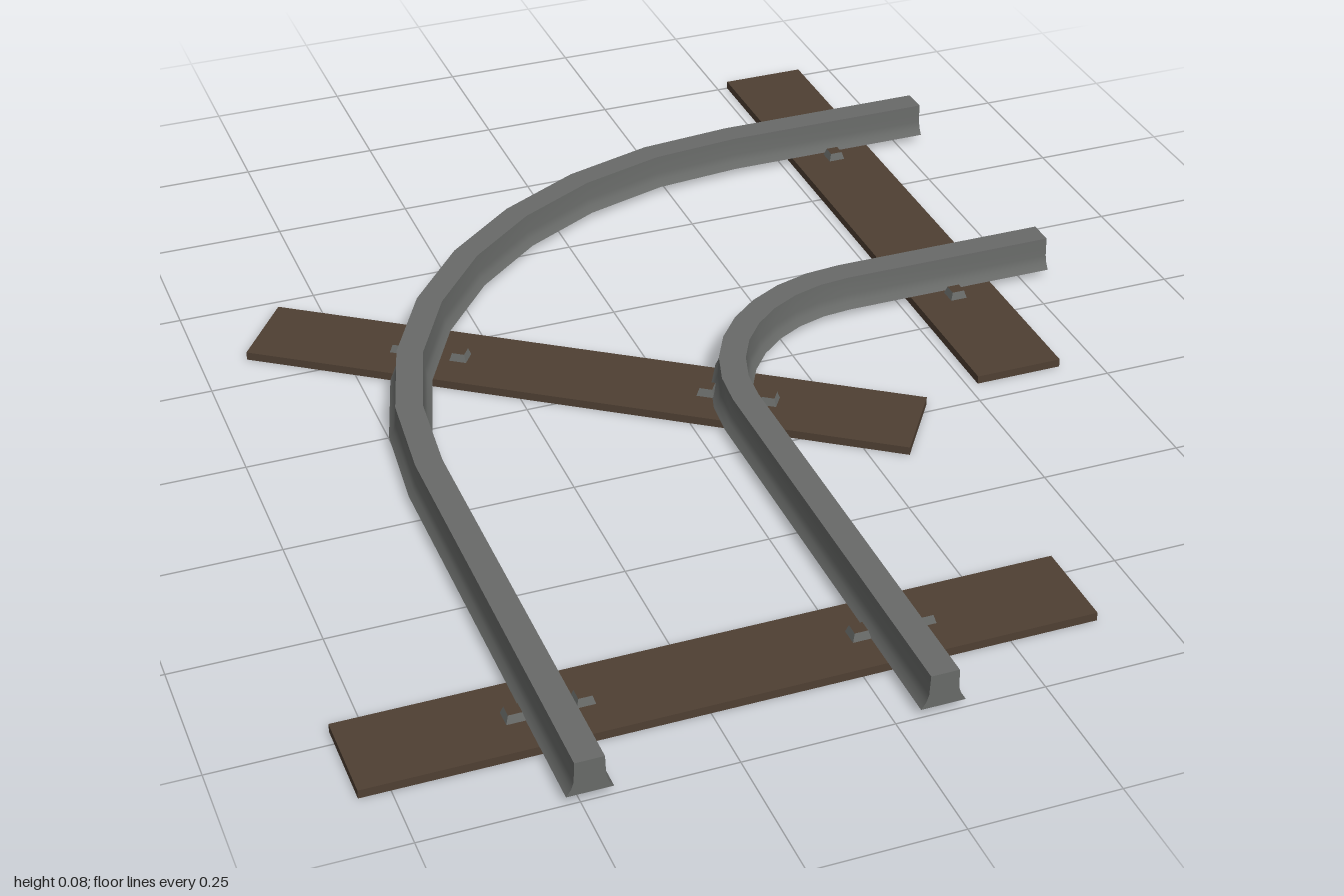
import * as THREE from 'three';
import { mergeGeometries } from 'three/addons/utils/BufferGeometryUtils.js';

const steel = new THREE.MeshStandardMaterial({ name: 'steel grey', color: 0x686a68 });
const wood = new THREE.MeshStandardMaterial({ name: 'dark wood', color: 0x4f4033 });

const SLEEPER_H = 0.015;

// Rail cross-section as [across, height], counter-clockwise; each strip is smooth in itself
const rightSide = [[0.037, 0.015], [0.035, 0.018], [0.029, 0.027], [0.025, 0.04], [0.0235, 0.075]];
const leftSide = rightSide.map(([u, y]) => [-u, y]).reverse();
const strips = [
  rightSide,
  [rightSide[4], leftSide[0]],
  leftSide,
  [leftSide[4], rightSide[0]],
];

// Path stations: straight, quarter bend around (0.4, 0.2), straight
function railStations(radius, bends = 8) {
  const stations = [];
  for (let i = 0; i <= bends; i++) {
    const a = (i / bends) * Math.PI / 2;
    const nx = -Math.cos(a), nz = -Math.sin(a);
    stations.push({ x: 0.4 + radius * nx, z: 0.2 + radius * nz, nx, nz });
  }
  stations.unshift({ ...stations[0], z: 1 });
  stations.push({ ...stations[bends + 1], x: 0.8 });
  return stations;
}

function toGeometry(positions, index) {
  const g = new THREE.BufferGeometry();
  g.setAttribute('position', new THREE.Float32BufferAttribute(positions, 3));
  g.setIndex(index);
  g.computeVertexNormals();
  return g;
}

function createRail(name, radius) {
  const stations = railStations(radius);
  const place = (s, [u, y]) => [s.x + u * s.nx, y, s.z + u * s.nz];

  // Sweep every strip along the path
  const parts = strips.map((strip) => {
    const n = strip.length, index = [];
    const positions = stations.flatMap((s) => strip.flatMap((p) => place(s, p)));
    for (let i = 0; i < stations.length - 1; i++) {
      for (let j = 0; j < n - 1; j++) {
        const a = i * n + j, b = a + 1, c = b + n, d = a + n;
        index.push(a, b, c, a, c, d);
      }
    }
    return toGeometry(positions, index);
  });

  // End caps
  const outline = [...rightSide, ...leftSide];
  const faces = THREE.ShapeUtils.triangulateShape(outline.map(([u, y]) => new THREE.Vector2(u, y)), []);
  const cap = (s, flip) => toGeometry(
    outline.flatMap((p) => place(s, p)),
    faces.flatMap(([a, b, c]) => (flip ? [a, c, b] : [a, b, c])),
  );
  parts.push(cap(stations[0], true), cap(stations[stations.length - 1], false));

  const rail = new THREE.Mesh(mergeGeometries(parts), steel);
  rail.name = name;
  return rail;
}

// Wooden sleeper with a spike on each side of both rails
function createSleeper(name, x, z, angle) {
  const group = new THREE.Group();
  group.name = name;
  const plank = new THREE.Mesh(new THREE.BoxGeometry(1.2, SLEEPER_H, 0.16), wood);
  plank.name = 'plank';
  plank.position.y = SLEEPER_H / 2;
  group.add(plank);

  const spikeShape = new THREE.CylinderGeometry(0.016, 0.022, 0.014, 4).toNonIndexed();
  spikeShape.rotateY(Math.PI / 4);
  spikeShape.computeVertexNormals();
  for (const along of [-0.337, -0.226, 0.226, 0.337]) {
    const spike = new THREE.Mesh(spikeShape, [steel, wood, wood]);
    spike.name = 'spike';
    spike.position.set(along, SLEEPER_H + 0.007, 0);
    group.add(spike);
  }
  group.position.set(x, 0, z);
  group.rotation.y = angle;
  return group;
}

export function createModel() {
  const model = new THREE.Group();
  model.name = 'curvedTrack';
  model.add(
    createRail('outerRail', 0.885),
    createRail('innerRail', 0.322),
    createSleeper('frontSleeper', -0.2, 0.8, 0),
    createSleeper('middleSleeper', -0.13, -0.05, -35 * Math.PI / 180),
    createSleeper('backSleeper', 0.6, -0.4, -Math.PI / 2),
  );
  return model;
}
